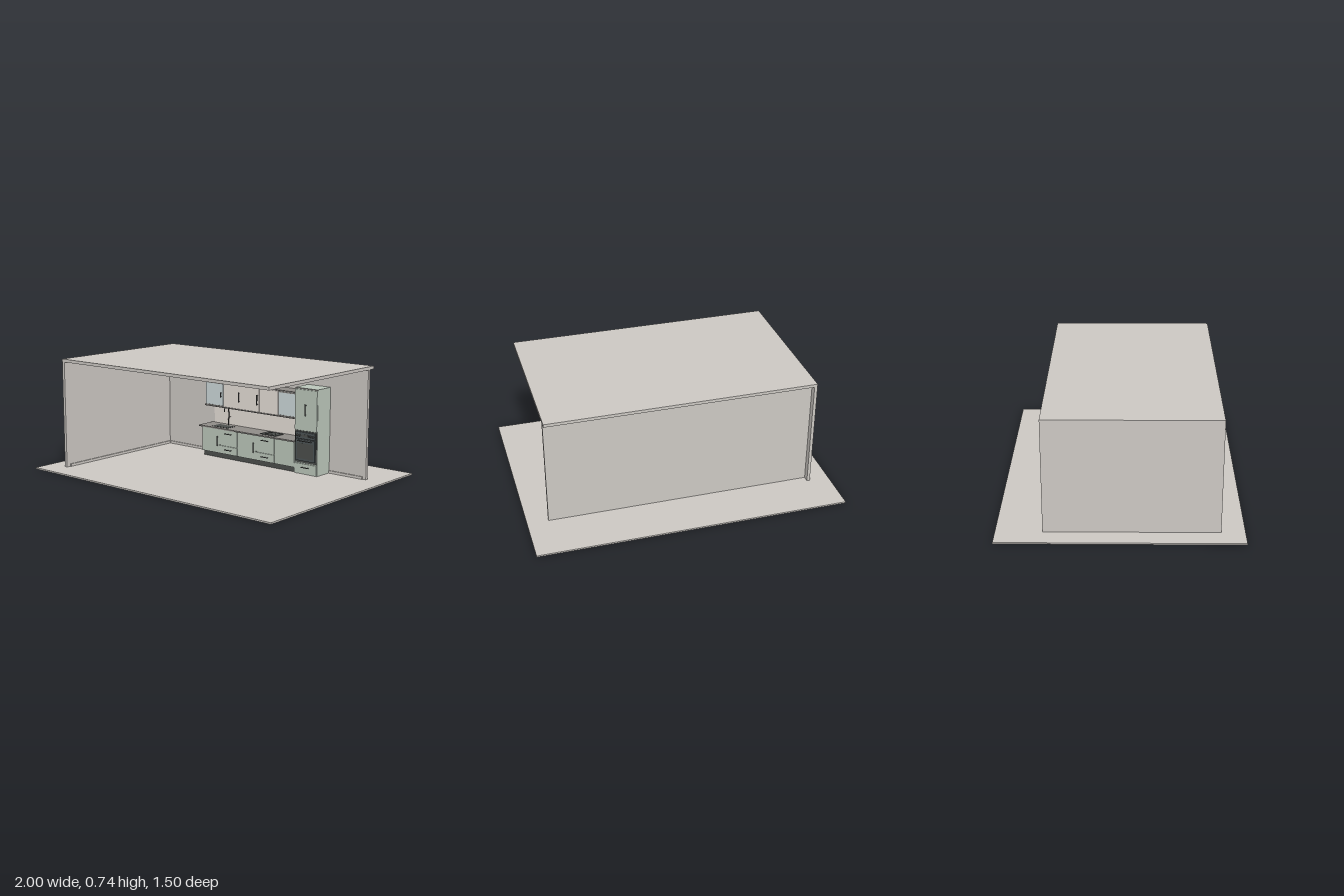
import * as THREE from 'three';

const paint = (color) => new THREE.MeshStandardMaterial({ color });

export function createModel() {
  const model = new THREE.Group();
  const wall = paint(0xccc8c3), green = paint(0xbbc6ba), cream = paint(0xe4ddd6);
  const glass = paint(0xcbd7d9), dark = paint(0x4b4e4c), oven = paint(0x4c5355);
  const metal = paint(0x505250), trim = paint(0x8f8c88);

  // Box given by its lower and upper corner
  function box(name, mat, x0, x1, y0, y1, z0, z1, parent = model) {
    const mesh = new THREE.Mesh(new THREE.BoxGeometry(x1 - x0, y1 - y0, z1 - z0), mat);
    mesh.position.set((x0 + x1) / 2, (y0 + y1) / 2, (z0 + z1) / 2);
    mesh.name = name;
    parent.add(mesh);
    return mesh;
  }

  function group(name) {
    const g = new THREE.Group();
    g.name = name;
    model.add(g);
    return g;
  }

  // Bar handle on two short posts, standing off the face at z
  function handle(parent, x, y, length, vertical, z) {
    const g = new THREE.Group();
    g.name = 'handle';
    const h = length / 2, r = 0.0025;
    box('handleBar', metal, -h, h, -r, r, 0.006, 0.011, g);
    for (const s of [-1, 1]) {
      const px = s * (h - 0.006);
      box('handlePost', metal, px - r, px + r, -r, r, 0, 0.007, g);
    }
    if (vertical) g.rotation.z = Math.PI / 2;
    g.position.set(x, y, z);
    parent.add(g);
  }

  // Room shell: floor, ceiling, back wall and one side wall
  box('floor', wall, -1, 1, 0, 0.01, -0.75, 0.75);
  box('ceiling', wall, -0.87, 0.865, 0.72, 0.74, -0.465, 0.605);
  box('sideWall', wall, -0.87, -0.85, 0.01, 0.72, -0.465, 0.605);
  box('backWall', wall, -0.85, 0.865, 0.01, 0.72, -0.425, -0.405);
  box('backSkirting', wall, -0.85, 0.84, 0.01, 0.027, -0.405, -0.397);
  box('sideSkirting', wall, -0.85, -0.842, 0.01, 0.027, -0.397, 0.575);

  const back = -0.404, face = -0.267, front = -0.26, gap = 0.0015;
  const edges = [-0.405, -0.245, -0.085, 0.075, 0.235, 0.4];

  // Base cabinets with doors and drawer pairs
  const base = group('baseCabinets');
  box('plinth', dark, -0.4, 0.395, 0.01, 0.045, back, -0.28, base);
  box('baseCarcass', green, -0.405, 0.4, 0.045, 0.215, back, face, base);
  for (let i = 0; i < 5; i++) {
    const a = edges[i] + gap, b = edges[i + 1] - gap, mid = (a + b) / 2;
    if (i === 1 || i === 3) {
      box('drawerFront', green, a, b, 0.107, 0.213, face, front, base);
      box('drawerFront', green, a, b, 0.046, 0.101, face, front, base);
      handle(base, mid, 0.19, 0.06, false, front);
      handle(base, mid, 0.077, 0.06, false, front);
    } else {
      box('baseDoor', green, a, b, 0.046, 0.213, face, front, base);
      if (i < 4) handle(base, b - 0.014, 0.13, 0.07, true, front);
    }
  }
  for (const x of edges.slice(1, 5))
    box('doorGap', dark, x - gap, x + gap, 0.046, 0.213, face, face + 0.001, base);
  box('worktop', trim, -0.43, 0.4, 0.215, 0.224, back, -0.252, base);
  box('backsplash', cream, -0.41, 0.4, 0.224, 0.36, back, -0.4, base);

  // Cooker top with four rings
  box('cooktop', dark, 0.095, 0.225, 0.224, 0.228, -0.375, -0.285, base);
  for (const x of [0.13, 0.19]) for (const z of [-0.35, -0.31]) {
    const ring = new THREE.Mesh(new THREE.CylinderGeometry(0.015, 0.015, 0.002, 24), metal);
    ring.name = 'cookerRing';
    ring.position.set(x, 0.229, z);
    base.add(ring);
  }

  // Sink and tall curved tap
  box('sinkRim', metal, -0.33, -0.19, 0.224, 0.2255, -0.36, -0.28, base);
  box('sinkBowl', dark, -0.322, -0.198, 0.2255, 0.226, -0.352, -0.288, base);
  const tapPath = new THREE.CatmullRomCurve3([
    [0.224, -0.375], [0.33, -0.375], [0.352, -0.365], [0.358, -0.35], [0.35, -0.334], [0.325, -0.33],
  ].map(([y, z]) => new THREE.Vector3(-0.26, y, z)));
  const tap = new THREE.Mesh(new THREE.TubeGeometry(tapPath, 32, 0.0035, 10), metal);
  tap.name = 'tap';
  base.add(tap);
  box('tapLever', metal, -0.26, -0.24, 0.284, 0.288, -0.377, -0.373, base);

  // Wall cabinets: glazed at both ends, plain doors between
  const upper = group('wallCabinets');
  const upFace = -0.305, upFront = -0.298;
  box('upperCarcass', cream, -0.405, 0.4, 0.362, 0.532, back, upFace, upper);
  for (let i = 0; i < 5; i++) {
    const a = edges[i] + gap, b = edges[i + 1] - gap, glazed = i === 0 || i === 4;
    box(glazed ? 'glassDoor' : 'upperDoor', glazed ? glass : cream, a, b, 0.368, 0.53, upFace, upFront, upper);
    if (glazed) for (const y of [0.368, 0.524])
      box('glassDoorRail', trim, a, b, y, y + 0.006, upFront, upFront + 0.002, upper);
    if (i < 3) handle(upper, b - 0.014, 0.45, i ? 0.07 : 0.035, true, upFront);
  }
  for (const x of edges.slice(1, 5))
    box('doorGap', dark, x - gap, x + gap, 0.368, 0.53, upFace, upFace + 0.001, upper);
  box('cornice', trim, -0.412, 0.4, 0.532, 0.54, back, -0.292, upper);
  box('lightRail', trim, -0.408, 0.4, 0.36, 0.366, back, -0.295, upper);

  // Tall housing with door, built-in oven and bottom drawer
  const tall = group('tallCabinet');
  box('tallCarcass', green, 0.4, 0.58, 0.01, 0.58, back, face, tall);
  box('tallDoor', green, 0.402, 0.578, 0.306, 0.57, face, front, tall);
  box('tallTopTrim', trim, 0.402, 0.578, 0.573, 0.58, face, -0.262, tall);
  handle(tall, 0.49, 0.438, 0.075, true, front);
  box('bottomDrawer', green, 0.402, 0.578, 0.016, 0.08, face, front, tall);
  handle(tall, 0.49, 0.057, 0.06, false, front);
  box('ovenRecess', dark, 0.404, 0.576, 0.086, 0.3, face, -0.264, tall);
  box('ovenDoor', oven, 0.413, 0.567, 0.1, 0.243, -0.264, -0.256, tall);
  box('ovenWindow', dark, 0.425, 0.555, 0.115, 0.218, -0.256, -0.2555, tall);
  box('ovenPanel', oven, 0.413, 0.567, 0.247, 0.291, -0.264, -0.256, tall);
  box('ovenDisplay', dark, 0.465, 0.515, 0.262, 0.277, -0.256, -0.255, tall);
  handle(tall, 0.49, 0.233, 0.11, false, -0.256);
  for (const x of [0.428, 0.448, 0.532, 0.552]) {
    const knob = new THREE.Mesh(new THREE.CylinderGeometry(0.006, 0.007, 0.012, 20), metal);
    knob.name = 'ovenKnob';
    knob.rotation.x = Math.PI / 2;
    knob.position.set(x, 0.269, -0.25);
    tall.add(knob);
  }
  return model;
}
